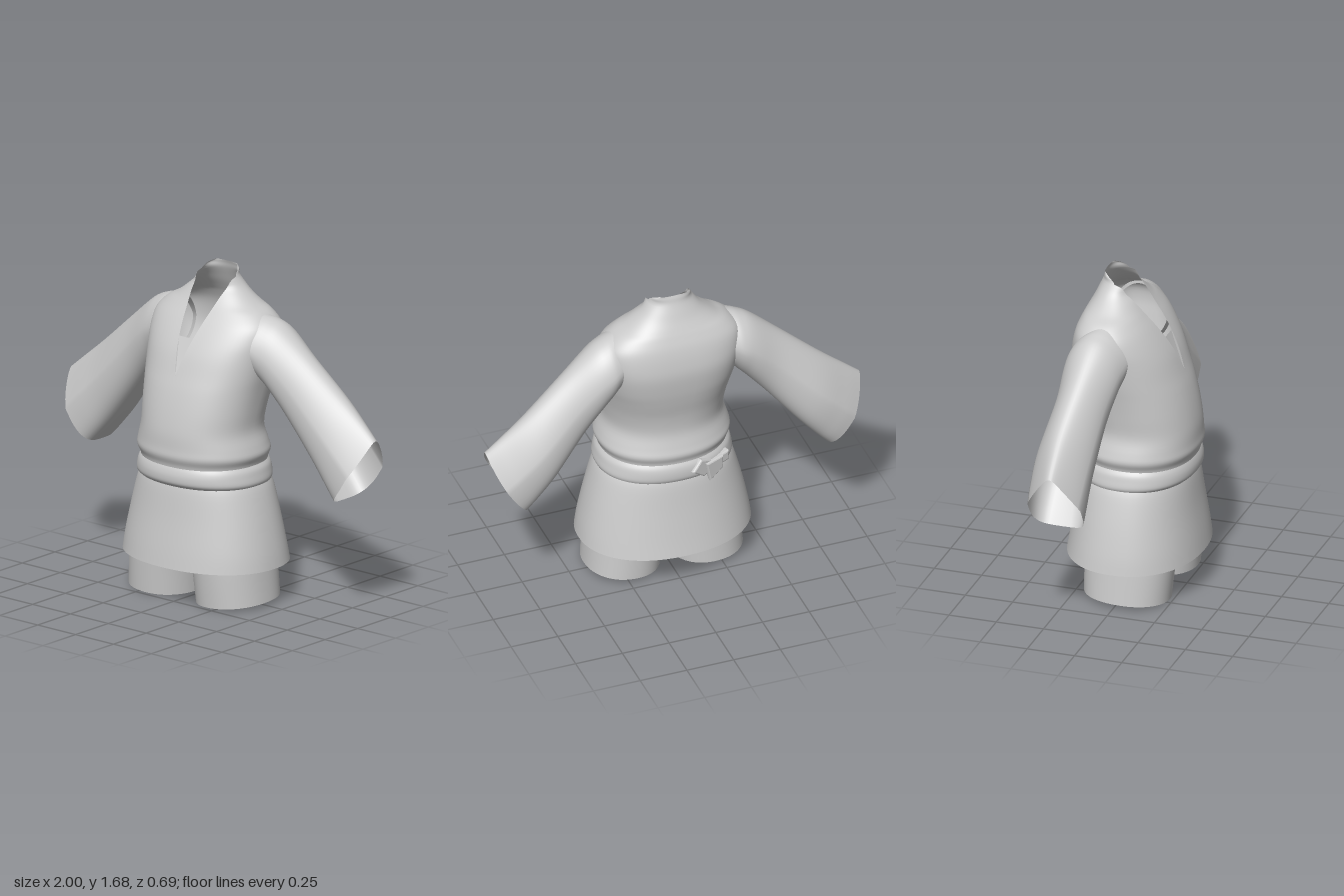
import * as THREE from 'three';
import { mergeVertices } from 'three/addons/utils/BufferGeometryUtils.js';

const cloth = new THREE.MeshStandardMaterial({ color: 0xcccccc, side: THREE.DoubleSide });
const { lerp, clamp } = THREE.MathUtils;
const soft = (v, power) => Math.sign(v) * Math.pow(Math.abs(v), power);

// Smoothly resamples key rows, with n steps between neighbours
function resample(rows, n) {
  const out = [];
  const at = (i) => rows[clamp(i, 0, rows.length - 1)];
  for (let i = 0; i < rows.length - 1; i++) {
    for (let k = 0; k < n; k++) {
      const t = k / n;
      out.push(rows[i].map((_, c) => {
        const [a, b, d, e] = [at(i - 1)[c], at(i)[c], at(i + 1)[c], at(i + 2)[c]];
        return b + 0.5 * t * (d - a + t * (2 * a - 5 * b + 4 * d - e + t * (3 * (b - d) + e - a)));
      }));
    }
  }
  out.push(rows[rows.length - 1]);
  return out;
}

// Skins a list of rings of [x, y, z] points; faces lying on x = 0 are left out
function loft(name, rings) {
  const n = rings[0].length;
  const index = [];
  for (let i = 0; i < rings.length - 1; i++) {
    for (let j = 0; j < n - 1; j++) {
      const corners = [rings[i][j], rings[i][j + 1], rings[i + 1][j], rings[i + 1][j + 1]];
      if (corners.every((p) => Math.abs(p[0]) < 1e-6)) continue;
      const a = i * n + j, b = a + 1, c = a + n, d = c + 1;
      index.push(a, b, d, a, d, c);
    }
  }
  let geo = new THREE.BufferGeometry();
  geo.setAttribute('position', new THREE.Float32BufferAttribute(rings.flat(2), 3));
  geo.setIndex(index);
  geo = mergeVertices(geo, 1e-5);
  geo.computeVertexNormals();
  const mesh = new THREE.Mesh(geo, cloth);
  mesh.name = name;
  return mesh;
}

// Horizontal oval ring; backPower below 1 squares the back, w is half the width of a front gap
function oval(y, hx, front, back, backPower = 0.92, w = 0) {
  const zc = (front + back) / 2, hz = (front - back) / 2;
  const t0 = Math.asin(Math.pow(clamp(w / hx, 0, 1), 1 / 0.92));
  return Array.from({ length: 65 }, (_, j) => {
    const t = lerp(t0, 2 * Math.PI - t0, j / 64);
    const power = Math.cos(t) < 0 ? backPower : 0.92;
    return [hx * soft(Math.sin(t), power), y, zc + hz * soft(Math.cos(t), power)];
  });
}

// Rows: y, half width, front z, back z, squareness of the back
const robeRows = [
  [0.7, 0.325, 0.295, -0.268, 0.92], [0.735, 0.33, 0.301, -0.269, 0.92], [0.775, 0.345, 0.316, -0.28, 0.92],
  [0.82, 0.335, 0.314, -0.268, 0.92], [0.9, 0.312, 0.31, -0.25, 0.9], [1, 0.318, 0.292, -0.258, 0.85],
  [1.1, 0.33, 0.266, -0.28, 0.78], [1.18, 0.343, 0.238, -0.295, 0.72], [1.28, 0.357, 0.2, -0.305, 0.68],
  [1.36, 0.366, 0.157, -0.297, 0.68], [1.43, 0.355, 0.11, -0.28, 0.7], [1.485, 0.302, 0.067, -0.257, 0.75],
  [1.52, 0.24, 0.042, -0.24, 0.8], [1.56, 0.187, 0.015, -0.22, 0.88], [1.6, 0.145, -0.012, -0.202, 0.92],
  [1.645, 0.113, -0.01, -0.182, 0.92], [1.672, 0.098, -0.078, -0.174, 0.92], [1.688, 0.07, -0.145, -0.168, 0.92],
];
const beltRows = [
  [0.618, 0.346, 0.286, -0.274], [0.64, 0.355, 0.307, -0.284], [0.675, 0.349, 0.311, -0.285],
  [0.705, 0.341, 0.305, -0.279], [0.728, 0.326, 0.295, -0.266],
];
const skirtRows = [
  [0.205, 0.45, 0.345, -0.345], [0.3, 0.435, 0.333, -0.328], [0.45, 0.402, 0.311, -0.304],
  [0.59, 0.363, 0.294, -0.284], [0.645, 0.338, 0.282, -0.268],
];

// Rows: y, inner x, outer x, front z, back z
const legRows = [
  [0.018, 0.03, 0.415, 0.235, -0.205], [0.2, 0.012, 0.4, 0.252, -0.21],
  [0.29, -0.02, 0.392, 0.257, -0.22], [0.37, -0.2, 0.384, 0.26, -0.23], [0.56, -0.34, 0.34, 0.26, -0.245],
];

// Rows: top x, top y, bottom x, bottom y, front z, back z, taper towards the top, squareness of the bottom
const sleeveRows = [
  [0.25, 1.495, 0.27, 1.19, 0.055, -0.225, 0.25, 0], [0.31, 1.482, 0.31, 1.17, 0.055, -0.25, 0.2, 0],
  [0.36, 1.468, 0.345, 1.135, 0.045, -0.264, 0.15, 0], [0.43, 1.432, 0.39, 1.09, 0.03, -0.265, 0.15, 0.1],
  [0.57, 1.315, 0.49, 0.975, 0.008, -0.262, 0.22, 0.2], [0.78, 1.135, 0.645, 0.785, 0, -0.292, 0.35, 0.3],
  [0.92, 1.018, 0.745, 0.67, 0.003, -0.286, 0.48, 0.4], [1, 0.95, 0.8, 0.61, 0.005, -0.275, 0.55, 0.45],
];

function sleeveRing([tx, ty, bx, by, front, back, taper, square]) {
  return Array.from({ length: 49 }, (_, j) => {
    const t = (j / 48) * 2 * Math.PI;
    const power = Math.cos(t) < 0 ? 1 - square : 1;
    const c = soft(Math.cos(t), power), s = soft(Math.sin(t), power);
    const k = (1 - c) / 2;
    const bulge = 0.09 * square * (1 - c * c);
    return [lerp(tx, bx, k) + bulge * 0.6, lerp(ty, by, k) - bulge * 0.35,
      (front + back) / 2 + ((front - back) / 2) * s * (1 - taper * Math.max(c, 0))];
  });
}

function legRing([y, inner, outer, front, back]) {
  const cx = (inner + outer) / 2;
  const slant = clamp(1 - y / 0.2, 0, 1);
  return oval(y, (outer - inner) / 2, front, back).map(([x, py, z]) =>
    [Math.max(0, x + cx), py + slant * (0.06 * x - 0.04 * z), z]);
}

// Flat bevelled piece of the belt knot
function knotPiece(name, points, z) {
  const shape = new THREE.Shape(points.map(([x, y]) => new THREE.Vector2(x, y)));
  const geo = new THREE.ExtrudeGeometry(shape, {
    depth: 0.02, bevelEnabled: true, bevelThickness: 0.01, bevelSize: 0.008, bevelSegments: 2,
  });
  const mesh = new THREE.Mesh(geo, cloth);
  mesh.name = name;
  mesh.position.z = z;
  return mesh;
}

export function createModel() {
  const model = new THREE.Group();
  model.name = 'beltedRobe';

  // Body of the robe with its open neckline
  const neck = (y) => Math.max(0, (y - 1.18) * 0.25);
  model.add(loft('upperRobe', resample(robeRows, 4).map((row) => oval(...row, neck(row[0])))));
  model.add(loft('belt', resample(beltRows, 4).map((row) => oval(...row))));
  model.add(loft('skirt', resample(skirtRows, 4).map((row) => oval(...row))));

  // Inner layer closing the foot of the neckline
  const panel = [[0, 1.17, 0.238], [0.052, 1.36, 0.148], [-0.052, 1.36, 0.148]];
  const panelGeo = new THREE.BufferGeometry();
  panelGeo.setAttribute('position', new THREE.Float32BufferAttribute(panel.flat(), 3));
  panelGeo.computeVertexNormals();
  const innerPanel = new THREE.Mesh(panelGeo, cloth);
  innerPanel.name = 'innerPanel';
  model.add(innerPanel);

  // Sleeves and trouser legs, mirrored
  for (const [side, sx] of [['left', 1], ['right', -1]]) {
    const sleeve = loft(side + 'Sleeve', resample(sleeveRows, 5).map(sleeveRing));
    const leg = loft(side + 'TrouserLeg', resample(legRows, 5).map(legRing));
    sleeve.scale.x = leg.scale.x = sx;
    model.add(sleeve, leg);
  }

  // Belt knot at the back
  const knot = new THREE.Group();
  knot.name = 'beltKnot';
  knot.add(
    knotPiece('knotLoop', [[-0.12, 0.0], [-0.075, 0.045], [-0.02, 0.025], [-0.03, -0.03], [-0.06, -0.045]], -0.012),
    knotPiece('knotTail', [[-0.045, 0.015], [0.05, 0.02], [0.045, -0.04], [-0.025, -0.08]], 0),
    knotPiece('knotEnd', [[0.05, 0.02], [0.095, 0.025], [0.095, -0.015], [0.06, -0.02]], -0.01),
  );
  knot.position.set(-0.17, 0.67, -0.24);
  knot.rotation.y = Math.PI + 0.36;
  model.add(knot);

  return model;
}
